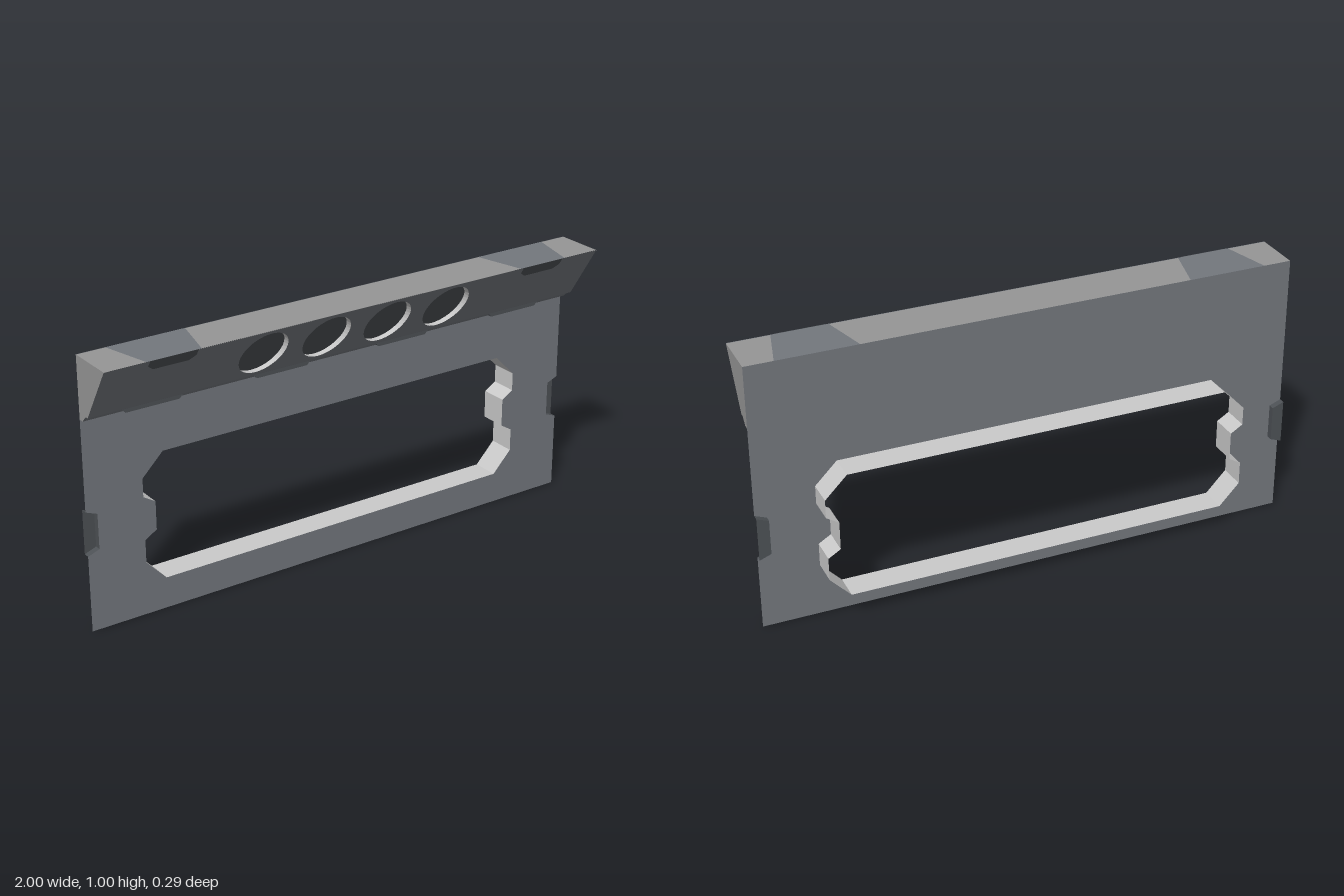
import * as THREE from 'three';

const mat = (name, color) => new THREE.MeshStandardMaterial({ name, color, side: THREE.DoubleSide });
const V = (pts) => pts.map(([x, y]) => new THREE.Vector2(x, y));

export function createModel() {
  const slate = mat('slate panel', 0x73777d);
  const dark = mat('dark inset', 0x4d5155);
  const grey = mat('wedge grey', 0x969696);
  const pale = mat('pale lining', 0xcacaca);

  const model = new THREE.Group();
  model.name = 'framePanel';
  const add = (name, geometry, material) => {
    const mesh = new THREE.Mesh(geometry, material);
    mesh.name = name;
    model.add(mesh);
    return mesh;
  };

  // Ribbon of quads joining an outline at depth zA(y) to the same outline at zB(y)
  const ribbon = (pts, zA, zB, closed = true) => {
    const pos = [], n = pts.length;
    for (let i = 0; i < (closed ? n : n - 1); i++) {
      const [a, b] = [pts[i], pts[(i + 1) % n]];
      const a0 = [a.x, a.y, zA(a.y)], b0 = [b.x, b.y, zA(b.y)];
      const a1 = [a.x, a.y, zB(a.y)], b1 = [b.x, b.y, zB(b.y)];
      pos.push(...a0, ...a1, ...b0, ...b0, ...a1, ...b1);
    }
    const g = new THREE.BufferGeometry();
    g.setAttribute('position', new THREE.Float32BufferAttribute(pos, 3));
    g.computeVertexNormals();
    return g;
  };

  // Flat shape laid on a surface whose depth depends on height
  const sheet = (shape, z) => {
    const g = new THREE.ShapeGeometry(shape, 40);
    const p = g.attributes.position;
    for (let i = 0; i < p.count; i++) p.setZ(i, z(p.getY(i)));
    g.computeVertexNormals();
    return g;
  };

  const PANEL_Z = -0.04;
  const slope = (y) => 0.016 + (y - 0.8) * 0.635;

  // Window outline: chamfered corners and a small tab at each side
  const half = [[0.71, 0.115], [0.785, 0.195], [0.785, 0.28], [0.74, 0.307],
    [0.74, 0.412], [0.785, 0.44], [0.785, 0.508], [0.705, 0.588]];
  const mirror = (pts) => pts.map(([x, y]) => [-x, y]).reverse();
  const windowPts = V([...half, ...mirror(half)]);

  // Main panel with edge notches
  const notch = [[1, 0.282], [0.957, 0.298], [0.957, 0.428], [1, 0.445]];
  const side = [[1, 0], ...notch, [1, 1]];
  const panel = new THREE.Shape(V([...side, ...mirror(side)]));
  panel.holes.push(new THREE.Path(windowPts));
  add('panel', sheet(panel, () => PANEL_Z), slate);
  add('windowLining', ribbon(windowPts, () => PANEL_Z, () => -0.142), pale);

  // Recesses in the two side edges
  for (const [label, pts] of [['left', notch], ['right', mirror(notch)]]) {
    add(label + 'NotchFloor', sheet(new THREE.Shape(V(pts)), () => -0.063), dark);
    add(label + 'NotchWall', ribbon(V(pts), () => PANEL_Z, () => -0.063, false), dark);
  }

  // Sloping face of the top wedge, with four round recesses
  const face = new THREE.Shape(V([[-1, 0.8], [1, 0.8], [1, 1], [-1, 1]]));
  for (const cx of [-0.38, -0.13, 0.12, 0.37]) {
    const round = new THREE.EllipseCurve(cx, 0.9, 0.091, 0.0865).getPoints(40).slice(0, -1);
    const floor = (y) => slope(y) - 0.025;
    face.holes.push(new THREE.Path(round));
    add('recessRim', ribbon(round, slope, floor), pale);
    add('recessFloor', sheet(new THREE.Shape(round), floor), dark);
  }
  add('wedgeFace', sheet(face, slope), slate);

  // Wedge underside, ends and top
  const under = [[0.016, 0.8], [0.003, 0.8], [-0.011, 0.786], [-0.02, 0.776], [PANEL_Z, 0.776]];
  const underside = ribbon(V(under), () => -1, () => 1, false);
  // Profiles are drawn as (z, y), then turned so that they run along x
  add('wedgeUnderside', underside.rotateY(-Math.PI / 2), slate);
  const endShape = new THREE.Shape(V([...under, [PANEL_Z, 1], [0.143, 1]]));
  for (const x of [-1, 1]) {
    const end = add('wedgeEnd', new THREE.ShapeGeometry(endShape).rotateY(Math.sign(x) * Math.PI / 2), grey);
    if (x > 0) end.scale.z = -1;
    end.position.x = x;
  }
  // Top surfaces are drawn as (x, -z) and laid flat
  const flat = (pts, y) =>
    new THREE.ShapeGeometry(new THREE.Shape(V(pts.map(([x, z]) => [x, -z]))))
      .rotateX(-Math.PI / 2).translate(0, y, 0);
  add('wedgeTop', flat([[-1, 0.143], [1, 0.143], [1, PANEL_Z], [-1, PANEL_Z]], 0.999), grey);

  // Tapered patches on top, each with a dark finger pad below the front edge
  for (const s of [-1, 1]) {
    const c = s * 0.75;
    add('topPatch', flat([[c - 0.1, 0.143], [c + 0.1, 0.143], [c + 0.146, PANEL_Z], [c - 0.146, PANEL_Z]], 1), slate);
    const pad = new THREE.Shape(V([[c - 0.088, 1], [c - 0.088, 0.977], [c - 0.065, 0.96],
      [c + 0.065, 0.96], [c + 0.088, 0.977], [c + 0.088, 1]]));
    add('fingerPad', sheet(pad, (y) => slope(y) + 0.002), dark);
  }

  // Small tapered clips under the wedge
  for (const cx of [-0.75, -0.25, 0.25, 0.75]) {
    const clip = new THREE.Shape(V([[cx - 0.115, 0.787], [cx - 0.1, 0.772], [cx + 0.1, 0.772], [cx + 0.115, 0.787]]));
    add('clip', new THREE.ExtrudeGeometry(clip, { depth: 0.018, bevelEnabled: false }).translate(0, 0, -0.029), dark);
  }
  return model;
}
